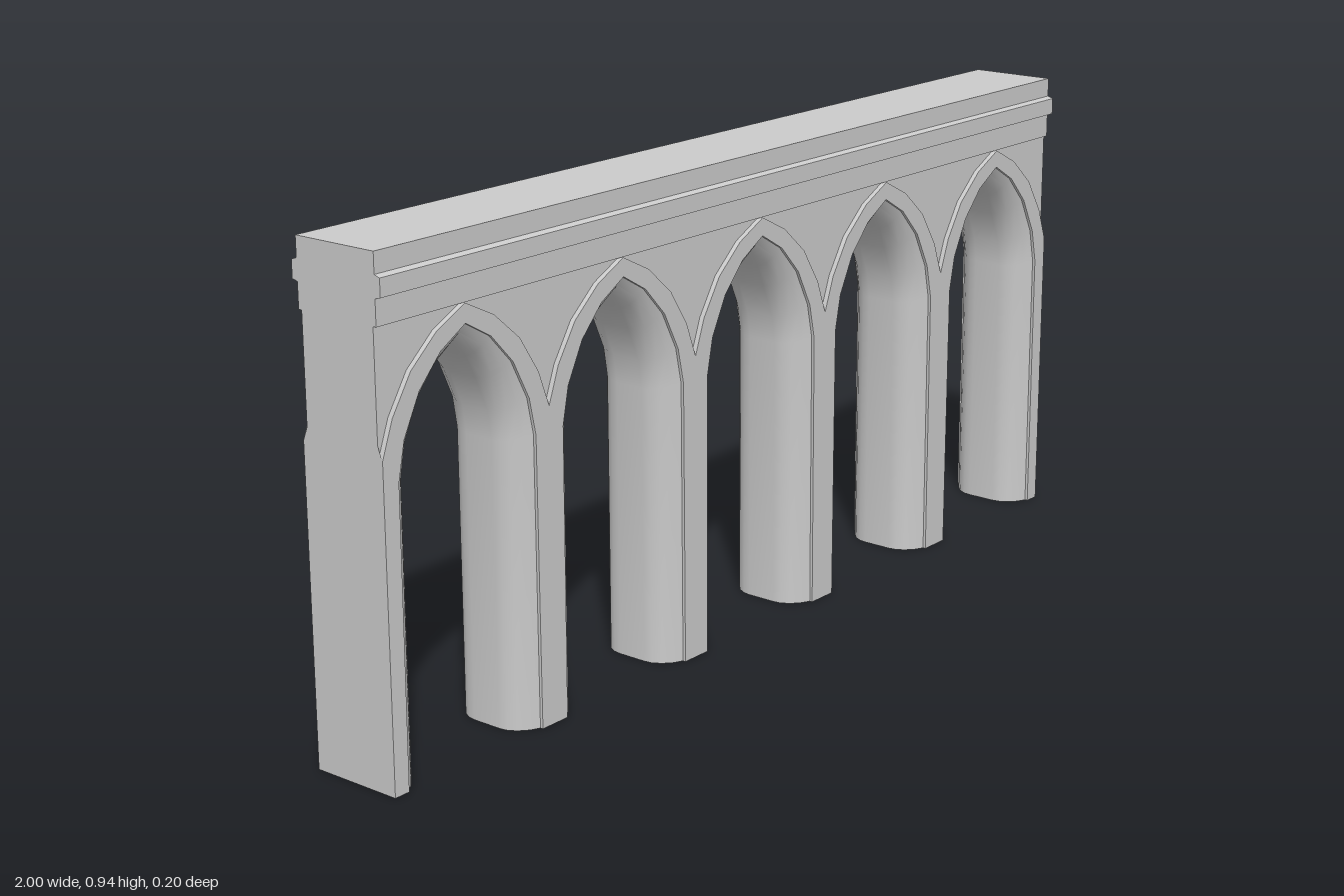
import * as THREE from 'three';
import { toCreasedNormals } from 'three/addons/utils/BufferGeometryUtils.js';

const material = new THREE.MeshStandardMaterial({ color: 0xcccccc, side: THREE.DoubleSide });
const BAY = 0.4, BAYS = 5, FACE = 0.093, WALL = 0.083, WALL_TOP = 0.82, SPRING = 0.595;

// Half arch lines from the floor to the apex: soffit, inner edge of the rim, outer edge of the rim
const soffit = [[0.12, 0], [0.12, 0.54], [0.112, 0.595], [0.083, 0.662], [0.046, 0.708], [0, 0.74]];
const rimIn = [[0.167, 0], [0.165, 0.55], [0.15, 0.62], [0.112, 0.694], [0.06, 0.75], [0, 0.785]];
const rimOut = [[0.2, 0], [0.2, SPRING], [0.175, 0.662], [0.13, 0.732], [0.068, 0.786], [0, WALL_TOP]];

const fullArch = (half) => [...half, ...half.slice(0, -1).reverse().map(([x, y]) => [-x, y])];

// Across the arch from front to back: blend from rim to soffit, and depth
const frontReveal = [[0, 0.087], [0.4, 0.078], [0.75, 0.063], [0.95, 0.046], [1, 0.03]];
const reveal = [...frontReveal, ...frontReveal.slice().reverse().map(([b, z]) => [b, -z])];

function archGeometry() {
  const outer = fullArch(rimOut), rim = fullArch(rimIn), inner = fullArch(soffit);
  const rows = outer.map((o, i) => {
    const r = rim[i], s = inner[i];
    return [
      [...o, WALL], [...o, FACE], [...r, FACE],
      ...reveal.map(([b, z]) => [r[0] + (s[0] - r[0]) * b, r[1] + (s[1] - r[1]) * b, z]),
      [...r, -FACE], [...o, -FACE], [...o, -WALL],
    ];
  });
  const cols = rows[0].length, last = rows.length - 2;
  const index = [];
  for (let i = 0; i <= last; i++) {
    for (let j = 0; j < cols - 1; j++) {
      // The raised lip starts above the straight pillars
      if ((i === 0 || i === last) && (j === 0 || j === cols - 2)) continue;
      const a = i * cols + j, b = a + cols;
      index.push(a, b, a + 1, b, b + 1, a + 1);
    }
  }
  const g = new THREE.BufferGeometry();
  g.setAttribute('position', new THREE.Float32BufferAttribute(rows.flat(2), 3));
  g.setIndex(index);
  return toCreasedNormals(g, 0.6);
}

function flatShape(points) {
  return new THREE.ShapeGeometry(new THREE.Shape(points.map(([x, y]) => new THREE.Vector2(x, y))));
}

export function createModel() {
  const model = new THREE.Group();
  const add = (parent, name, geometry) => {
    const mesh = new THREE.Mesh(geometry, material);
    mesh.name = name;
    parent.add(mesh);
    return mesh;
  };

  // Repeating bays: arch with half a pillar on each side, and the recessed wall above
  const arch = archGeometry();
  const curve = rimOut.slice(1);
  const spandrels = [1, -1].map((s) =>
    flatShape([...curve, [BAY / 2, WALL_TOP]].map(([x, y]) => [x * s, y])));
  for (let i = 0; i < BAYS; i++) {
    const bay = new THREE.Group();
    bay.name = `bay${i + 1}`;
    bay.position.x = (i - (BAYS - 1) / 2) * BAY;
    add(bay, 'archAndPillars', arch);
    for (const spandrel of spandrels) {
      add(bay, 'frontSpandrel', spandrel).position.z = WALL;
      const back = add(bay, 'backSpandrel', spandrel);
      back.position.z = -WALL;
      back.rotation.y = Math.PI;
    }
    model.add(bay);
  }

  // Flat end walls
  const end = flatShape([[-FACE, 0], [FACE, 0], [FACE, SPRING], [WALL, 0.62], [WALL, WALL_TOP],
    [-WALL, WALL_TOP], [-WALL, 0.62], [-FACE, SPRING]]);
  for (const s of [1, -1]) {
    const wall = add(model, s > 0 ? 'leftEndWall' : 'rightEndWall', end);
    wall.position.x = s;
    wall.rotation.y = s * Math.PI / 2;
  }

  // Parapet with its projecting string course, extruded along the whole length
  const side = [[0.09, WALL_TOP], [0.09, 0.867], [0.102, 0.87], [0.102, 0.903], [0.09, 0.907], [0.09, 0.945]];
  const profile = [...side, ...side.slice().reverse().map(([z, y]) => [-z, y])];
  const parapet = new THREE.ExtrudeGeometry(
    new THREE.Shape(profile.map(([z, y]) => new THREE.Vector2(z, y))),
    { depth: 2, bevelEnabled: false });
  parapet.translate(0, 0, -1).rotateY(Math.PI / 2);
  add(model, 'parapet', parapet);

  return model;
}
